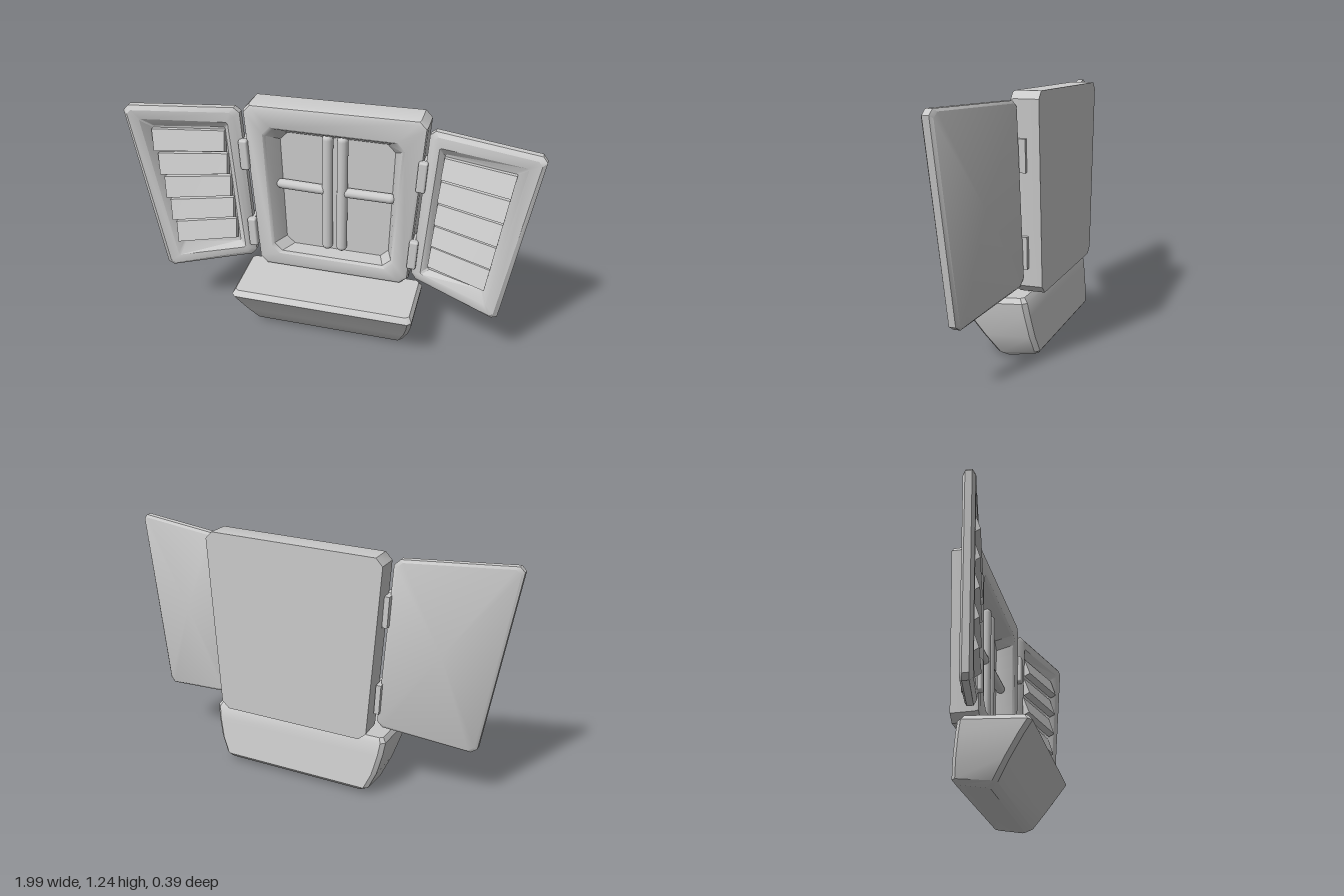
import * as THREE from 'three';
import { toCreasedNormals } from 'three/addons/utils/BufferGeometryUtils.js';
import { RoundedBoxGeometry } from 'three/addons/geometries/RoundedBoxGeometry.js';

const material = new THREE.MeshStandardMaterial({ color: 0xcccccc });
const V = (x, y, z) => new THREE.Vector3(x, y, z);

function add(group, name, geometry) {
  const mesh = new THREE.Mesh(geometry, material);
  mesh.name = name;
  group.add(mesh);
  return mesh;
}

// four corners -> eight-point ring with cut corners
function cutCorners(corners, cut) {
  return corners.flatMap((p, i) => [corners[(i + 3) % 4], corners[(i + 1) % 4]].map((q) =>
    p.clone().add(q.clone().sub(p).setLength(cut))));
}

// skin a stack of counter-clockwise rings and close both ends
function loft(rings) {
  const n = rings[0].length, pos = [], index = [];
  rings.forEach((r) => r.forEach((p) => pos.push(p.x, p.y, p.z)));
  for (let k = 0; k < rings.length - 1; k++) {
    for (let i = 0; i < n; i++) {
      const a = k * n + i, b = k * n + (i + 1) % n;
      index.push(a, b, b + n, a, b + n, a + n);
    }
  }
  [0, rings.length - 1].forEach((k, end) => {
    const c = rings[k].reduce((s, p) => s.add(p), V(0, 0, 0)).divideScalar(n);
    const m = pos.length / 3;
    pos.push(c.x, c.y, c.z);
    for (let i = 0; i < n; i++) {
      const a = k * n + i, b = k * n + (i + 1) % n;
      if (end) index.push(m, a, b); else index.push(m, b, a);
    }
  });
  const g = new THREE.BufferGeometry();
  g.setAttribute('position', new THREE.Float32BufferAttribute(pos, 3));
  g.setIndex(index);
  return toCreasedNormals(g, 0.6);
}

// corners run bottom-left, bottom-right, top-right, top-left
const SX = [1, -1, -1, 1], SY = [1, 1, -1, -1];
const level = (quad, inset, z) => quad.map(([x, y], i) => V(x + SX[i] * inset, y + SY[i] * inset, z));

// rounded rod between two points
function rod(group, name, a, b, r) {
  const m = add(group, name, new THREE.CapsuleGeometry(r, a.distanceTo(b) - 2 * r, 3, 12));
  m.position.copy(a).lerp(b, 0.5);
  m.quaternion.setFromUnitVectors(V(0, 1, 0), b.clone().sub(a).normalize());
}

function windowFrame() {
  const g = new THREE.Group();
  g.name = 'window';
  const outer = [[-0.38, 0.325], [0.405, 0.325], [0.46, 1.24], [-0.44, 1.225]];
  const opening = [[-0.31, 0.405], [0.325, 0.405], [0.36, 1.12], [-0.34, 1.12]];
  const pane = [[-0.255, 0.42], [0.285, 0.42], [0.30, 1.06], [-0.28, 1.06]];
  add(g, 'frame', loft([
    cutCorners(level(outer, 0, -0.195), 0.035),
    cutCorners(level(outer, 0, -0.08), 0.035),
    cutCorners(level(outer, 0.006, -0.064), 0.035),
    cutCorners(level(outer, 0.02, -0.057), 0.03),
    cutCorners(level(opening, 0, -0.057), 0.04),
    cutCorners(level(opening, 0.012, -0.068), 0.04),
    cutCorners(level(pane, 0, -0.15), 0.04),
  ]));
  // glazing bars
  const z = -0.125;
  for (const x of [-0.03, 0.045]) rod(g, 'verticalBar', V(x, 0.435, z), V(x, 1.09, z), 0.028);
  rod(g, 'crossBar', V(-0.295, 0.785, z), V(-0.03, 0.78, z), 0.025);
  rod(g, 'crossBar', V(0.045, 0.78, z), V(0.315, 0.78, z), 0.025);
  return g;
}

function shutter(side) {
  const g = new THREE.Group();
  g.name = side > 0 ? 'leftShutter' : 'rightShutter';
  // place a point of the flat shutter on its swung-open plane
  const slope = side > 0 ? 0.285 : 0.235;
  const place = (p) => V(side > 0 ? p.x : -p.x + 0.03 * (1 - p.x), p.y, -0.05 + slope * (p.x - 0.47) + p.z);
  const placeRing = (ring) => {
    const r = ring.map(place);
    return side > 0 ? r : r.reverse();
  };
  const outer = [[0.42, 0.37], [0.87, 0.28], [1.0, 1.205], [0.47, 1.2]];
  const opening = [[0.47, 0.415], [0.81, 0.355], [0.925, 1.14], [0.52, 1.13]];
  const recess = [[0.505, 0.435], [0.79, 0.415], [0.88, 1.09], [0.545, 1.09]];
  add(g, 'shutterPanel', loft([
    cutCorners(level(outer, 0.012, -0.057), 0.025),
    cutCorners(level(outer, 0, -0.047), 0.025),
    cutCorners(level(outer, 0, -0.016), 0.025),
    cutCorners(level(outer, 0.02, 0), 0.02),
    cutCorners(level(opening, 0, 0), 0.008),
    cutCorners(level(recess, 0, -0.035), 0.008),
  ].map(placeRing)));
  // sloping slats, fanned to follow the tapered panel
  for (let i = 0; i < 5; i++) {
    const edge = (t, z, dy, grow) => {
      const inner = 0.545 - 0.038 * t, out = 0.88 - 0.085 * t;
      return [V(inner - grow, 1.085 - 0.62 * t + dy, z), V(out + grow, 1.09 - 0.66 * t + dy, z)];
    };
    const t0 = i / 5 + 0.012, t1 = (i + 1) / 5 - 0.015;
    // bottom and top ends of the slat's cross-section, back then front
    const [bi, bo] = edge(t1, -0.012, -0.005, 0), [ti, to] = edge(t0, -0.045, 0, 0);
    const [fi, fo] = edge(t1, 0.02, 0.012, 0), [ui, uo] = edge(t0, -0.015, 0, 0);
    add(g, 'slat', loft([[bi, bo, to, ti], [fi, fo, uo, ui]].map(placeRing)));
  }
  return g;
}

function hinges(side) {
  const g = new THREE.Group();
  g.name = side > 0 ? 'leftHinges' : 'rightHinges';
  for (const [y, x] of side > 0 ? [[0.96, 0.446], [0.52, 0.426]] : [[0.96, -0.434], [0.52, -0.409]]) {
    const plate = add(g, 'hingeKnuckle', new RoundedBoxGeometry(0.045, 0.16, 0.04, 2, 0.01));
    plate.position.set(x, y, -0.057);
    const leaf = add(g, 'hingeLeaf', new THREE.BoxGeometry(0.025, 0.15, 0.08));
    leaf.position.set(x + side * 0.002, y, -0.095);
    plate.rotation.z = leaf.rotation.z = -side * 0.045;
  }
  return g;
}

// closed planter below the window, narrowing towards its foot
function planter() {
  // half width, back z and y, front z and y, corner cut
  const sections = [
    [0.37, -0.165, 0.03, -0.01, 0.003, 0.015],
    [0.40, -0.18, 0.05, 0.025, 0.025, 0.02],
    [0.435, -0.168, 0.13, 0.085, 0.115, 0.02],
    [0.458, -0.153, 0.23, 0.15, 0.21, 0.02],
    [0.466, -0.142, 0.295, 0.193, 0.27, 0.02],
    [0.45, -0.125, 0.317, 0.172, 0.297, 0.015],
  ];
  return loft(sections.map(([w, zb, yb, zf, yf, cut]) => cutCorners(
    [V(0.01 - w, yf, zf), V(0.01 + w, yf, zf), V(0.01 + w, yb, zb), V(0.01 - w, yb, zb)], cut)));
}

export function createModel() {
  const model = new THREE.Group();
  model.name = 'shutteredWindow';
  model.add(windowFrame());
  for (const side of [1, -1]) model.add(shutter(side), hinges(side));
  add(model, 'planter', planter());
  return model;
}
